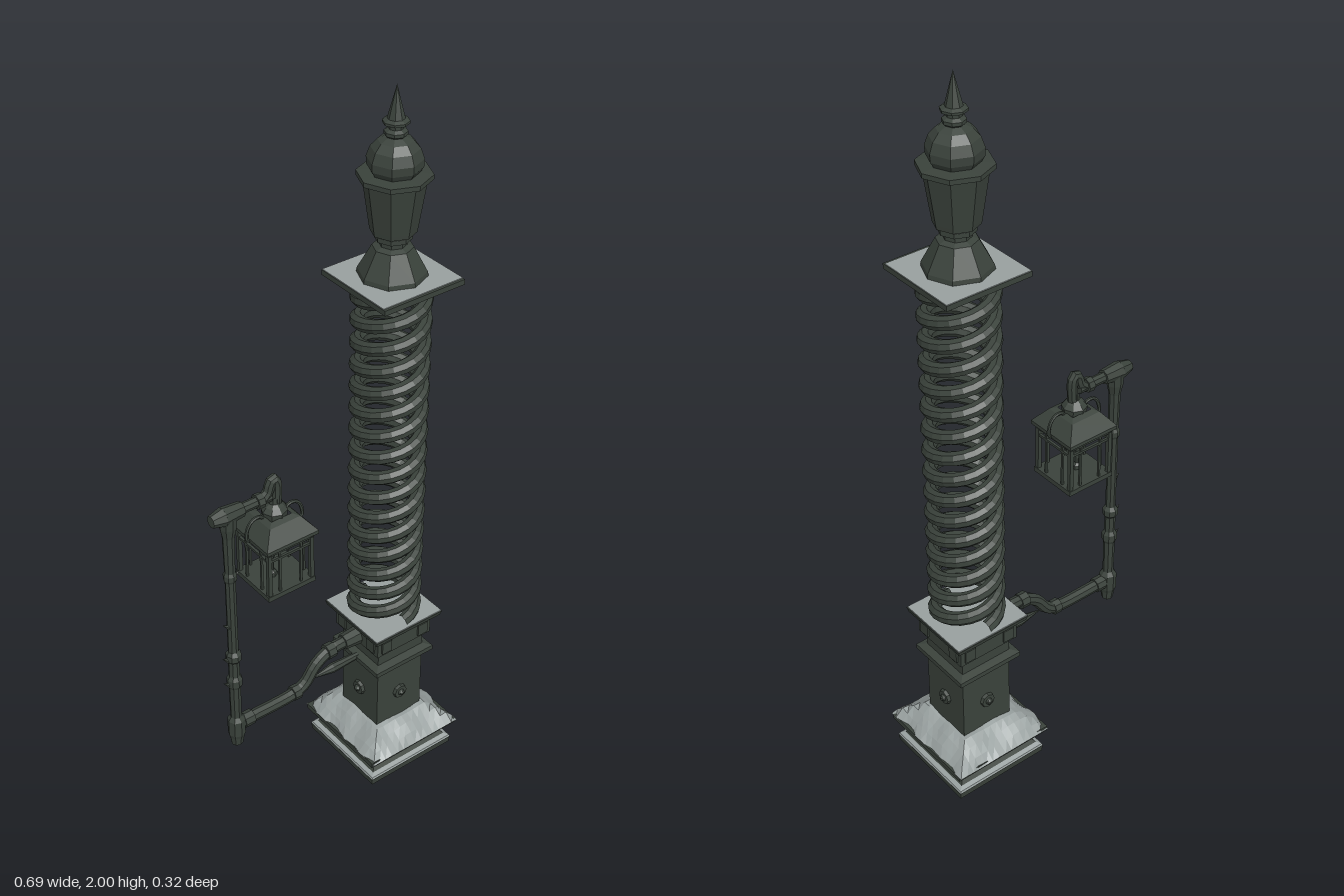
import * as THREE from 'three';

const CX = 0.195;  // column axis
const LX = -0.16;  // lantern axis
const PX = -0.297; // lamp post axis

export function createModel() {
  const root = new THREE.Group();
  root.name = 'springColumnLamp';
  const iron = new THREE.MeshStandardMaterial({ color: 0x3a423b, flatShading: true });
  iron.name = 'dark iron';
  const frost = new THREE.MeshStandardMaterial({ color: 0x98a09f, flatShading: true, side: THREE.DoubleSide });
  frost.name = 'frost grey';

  const add = (name, geo, x = 0, y = 0, z = 0, mat = iron, parent = root) => {
    const m = new THREE.Mesh(geo, mat);
    m.name = name;
    m.position.set(x, y, z);
    parent.add(m);
    return m;
  };
  const box = (name, w, h, d, x, y, z, mat) => add(name, new THREE.BoxGeometry(w, h, d), x, y, z, mat);
  // Profile of [radius, y] pairs turned about y; four sides gives a square section of that half width
  const turned = (name, pts, sides, x, z = 0, mat = iron) => {
    const sq = sides === 4;
    const p = pts.map(([r, y]) => new THREE.Vector2(r * (sq ? Math.SQRT2 : 1), y));
    return add(name, new THREE.LatheGeometry(p, sides, sq ? Math.PI / 4 : 0), x, 0, z, mat);
  };
  const pipe = (name, pts, r, seg = 12, sides = 8) => {
    const c = new THREE.CatmullRomCurve3(pts.map(p => new THREE.Vector3(...p)), false, 'centripetal');
    return add(name, new THREE.TubeGeometry(c, seg, r, sides));
  };
  // Cylinder lying along x
  const rod = (name, r1, r2, len, x, y, sides = 8) => {
    const m = add(name, new THREE.CylinderGeometry(r1, r2, len, sides), x, y, 0);
    m.rotation.z = Math.PI / 2; // first radius ends up on -x
    return m;
  };

  // Plinth with hollowed sides
  turned('plinth', [[0, 0], [0.14, 0], [0.142, 0.02], [0.13, 0.028], [0.118, 0.045], [0.118, 0.058],
    [0.13, 0.07], [0.15, 0.08], [0.15, 0.095], [0.07, 0.1]], 4, CX);
  turned('frostOnFoot', [[0.142, 0.021], [0.14, 0.026], [0.12, 0.034]], 4, CX, 0, frost);

  // Uneven snow drift round the shaft
  const drift = new THREE.PlaneGeometry(0.3, 0.314, 14, 14).rotateX(-Math.PI / 2);
  const p = drift.attributes.position;
  for (let i = 0; i < p.count; i++) {
    const x = p.getX(i), z = p.getZ(i);
    const e = Math.max(Math.abs(x) / 0.15, Math.abs(z) / 0.157);
    const wob = Math.sin(x * 47 + z * 13) * Math.cos(z * 53 - x * 9);
    const s = Math.min(1, Math.max(0, (1 - e) / 0.5));
    const rim = e > 0.99;
    p.setXYZ(i, x * (1 + (rim ? 0.02 * wob : 0)), rim ? 0.092 + 0.006 * wob : 0.105 + 0.042 * s * s * (3 - 2 * s) + 0.005 * wob,
      z * (1 + (rim ? 0.025 * wob : 0)));
  }
  add('snowDrift', drift, CX, 0, 0, frost);

  // Square shaft, collar and capital block
  box('shaft', 0.154, 0.33, 0.154, CX, 0.25, 0);
  turned('collar', [[0.077, 0.345], [0.098, 0.35], [0.098, 0.364], [0.077, 0.37]], 4, CX);
  turned('capital', [[0.077, 0.4], [0.091, 0.415], [0.091, 0.468], [0.1, 0.474], [0.109, 0.478],
    [0.113, 0.492], [0, 0.492]], 4, CX);
  box('frostOnLowerPlate', 0.222, 0.004, 0.222, CX, 0.493, 0, frost);

  // Rivet and two small panels on each face
  for (let i = 0; i < 4; i++) {
    const side = new THREE.Group();
    side.name = 'shaftFace';
    side.position.x = CX;
    side.rotation.y = i * Math.PI / 2;
    root.add(side);
    add('rivetDisc', new THREE.CylinderGeometry(0.02, 0.022, 0.01, 8).rotateX(Math.PI / 2), 0, 0.235, 0.081, iron, side);
    add('rivetHead', new THREE.SphereGeometry(0.01, 8, 5), 0, 0.235, 0.086, iron, side);
    for (const s of [-1, 1])
      add('capitalPanel', new THREE.BoxGeometry(0.032, 0.036, 0.008), s * 0.062, 0.442, 0.092, iron, side);
  }

  // Two interleaved hollow coils
  const coil = (start) => {
    const c = new THREE.Curve();
    const turns = 8;
    c.getPoint = (t, v = new THREE.Vector3()) => {
      const a = start + t * turns * Math.PI * 2;
      return v.set(Math.sin(a) * 0.083, 0.495 + t * 1.015, Math.cos(a) * 0.083);
    };
    return new THREE.TubeGeometry(c, turns * 22, 0.0185, 8);
  };
  for (const a of [0, Math.PI]) add('coil', coil(a), CX);

  // Upper plate and finial
  box('upperPlate', 0.24, 0.014, 0.24, CX, 1.517, 0.003);
  box('frostOnUpperPlate', 0.238, 0.004, 0.232, CX, 1.524, 0, frost);
  turned('finialFoot', [[0.086, 1.524], [0.084, 1.537], [0.05, 1.6], [0.034, 1.606], [0.034, 1.618],
    [0.046, 1.622], [0.046, 1.634], [0.036, 1.64]], 8, CX);
  turned('finialUrn', [[0, 1.638], [0.056, 1.64], [0.058, 1.652], [0.076, 1.772], [0.09, 1.776],
    [0.09, 1.788], [0.055, 1.792]], 8, CX);
  turned('finialDome', [[0.056, 1.788], [0.066, 1.805], [0.067, 1.825], [0.058, 1.85], [0.042, 1.868],
    [0.02, 1.878]], 8, CX);
  turned('finialSpike', [[0.018, 1.874], [0.028, 1.882], [0.028, 1.89], [0.018, 1.896], [0.018, 1.905],
    [0.032, 1.909], [0.032, 1.915], [0.021, 1.92], [0, 2]], 8, CX);

  // Bracket arm and its spike
  rod('armSocket', 0.022, 0.026, 0.06, 0.085, 0.435);
  pipe('arm', [[0.1, 0.435, 0], [0.01, 0.43, 0], [-0.035, 0.405, 0], [-0.07, 0.36, 0], [-0.1, 0.343, 0],
    [-0.29, 0.338, 0]], 0.017, 24);
  rod('armJoint', 0.022, 0.022, 0.025, 0.01, 0.43);
  rod('armJoint', 0.021, 0.021, 0.022, -0.105, 0.343);
  rod('armJoint', 0.021, 0.021, 0.03, -0.262, 0.339);
  rod('sideSpike', 0.001, 0.014, 0.07, -0.015, 0.36);
  rod('sideSpikeStem', 0.014, 0.01, 0.085, 0.062, 0.36);

  // Post with knots and lower knob
  turned('postKnob', [[0, 0.272], [0.016, 0.274], [0.02, 0.3], [0.024, 0.312], [0.024, 0.36], [0.016, 0.372]], 8, PX);
  turned('post', [[0.015, 0.36], [0.016, 0.475], [0.021, 0.485], [0.021, 0.505], [0.015, 0.515], [0.015, 0.565],
    [0.021, 0.572], [0.021, 0.59], [0.014, 0.6], [0.014, 0.83], [0.018, 0.838], [0.018, 0.852], [0.014, 0.86],
    [0.016, 0.97], [0.022, 1.0], [0.023, 1.035]], 8, PX);
  for (const [x, y] of [[-0.024, 0.495], [-0.024, 0.58], [0.02, 0.845], [-0.018, 0.69]])
    add('postThorn', new THREE.ConeGeometry(0.008, 0.026, 5), PX + x, y, 0).rotation.z = x < 0 ? 0.9 : -0.9;
  rod('postHead', 0.016, 0.025, 0.035, -0.327, 1.036);
  rod('postHead', 0.025, 0.02, 0.055, -0.283, 1.036);
  rod('topBar', 0.014, 0.014, 0.1, -0.222, 1.036);
  rod('topBarRing', 0.02, 0.02, 0.018, -0.205, 1.036);
  pipe('lanternHook', [[-0.195, 1.036, 0], [-0.178, 1.05, 0], [-0.168, 1.078, 0], [-0.158, 1.082, 0],
    [-0.152, 1.065, 0], [-0.155, 1.0, 0]], 0.014, 14);

  // Lantern: roof, floor and open cage
  turned('lanternRoof', [[0, 0.91], [0.068, 0.912], [0.07, 0.922], [0.078, 0.926], [0.078, 0.936], [0.046, 0.976],
    [0.03, 0.982]], 4, LX);
  turned('lanternCap', [[0.032, 0.975], [0.034, 0.992], [0.024, 1.004], [0.014, 1.012], [0.012, 1.03]], 8, LX);
  box('lanternFloor', 0.144, 0.014, 0.144, LX, 0.782, 0);
  for (const s of [-1, 1]) {
    for (const t of [-1, 1]) {
      box('cageCorner', 0.011, 0.13, 0.011, LX + s * 0.064, 0.85, t * 0.064);
      box('cageBar', 0.006, 0.13, 0.006, LX + s * 0.064, 0.85, t * 0.032);
      box('cageBar', 0.006, 0.13, 0.006, LX + s * 0.032, 0.85, t * 0.064);
    }
    box('cageRail', 0.13, 0.007, 0.007, LX, 0.895, s * 0.064);
    box('cageRail', 0.007, 0.007, 0.13, LX + s * 0.064, 0.895, 0);
    // Curled roof handle
    pipe('roofHandle', [[0.032, 0.972], [0.042, 0.986], [0.064, 0.985], [0.079, 0.968], [0.084, 0.935], [0.074, 0.926]]
      .map(([x, y]) => [LX + s * x, y, 0]), 0.005, 14, 6);
  }
  turned('burner', [[0.014, 0.788], [0.014, 0.8], [0.006, 0.806], [0.006, 0.84], [0.01, 0.85], [0.01, 0.875],
    [0, 0.9]], 6, LX - 0.012);

  return root;
}
